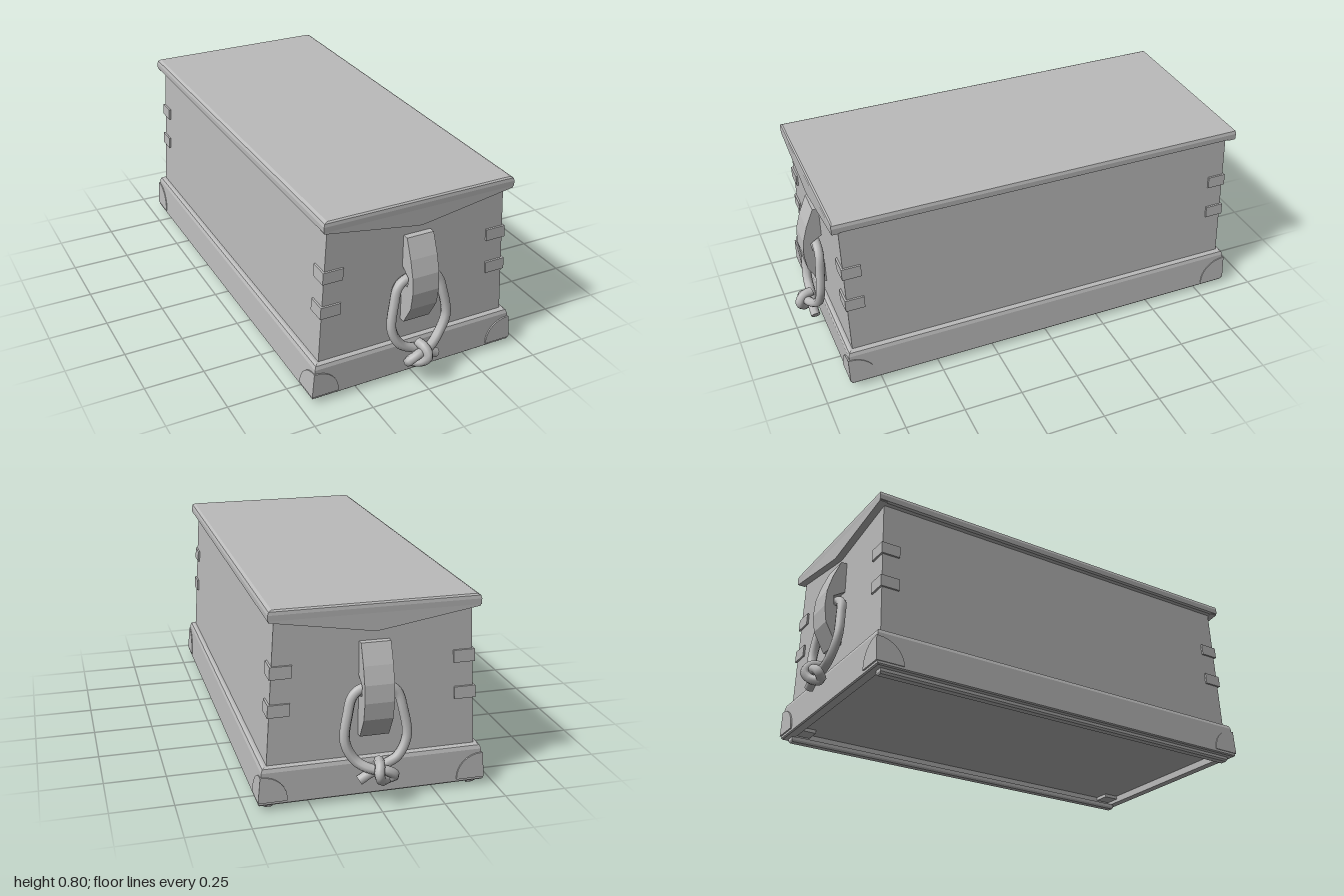
import * as THREE from 'three';

const grey = new THREE.MeshStandardMaterial({ color: 0xbbbbbb });
grey.name = 'grey';

function add(parent, name, geometry) {
  const mesh = new THREE.Mesh(geometry, grey);
  mesh.name = name;
  parent.add(mesh);
  return mesh;
}

// Flat-shaded solid through rectangular rings [xA, xB, y, zA, zB]
function loft(rings) {
  const pos = [];
  const loops = rings.map(([xa, xb, y, za, zb]) => {
    const x0 = Math.min(xa, xb), x1 = Math.max(xa, xb);
    const z0 = Math.min(za, zb), z1 = Math.max(za, zb);
    return [[x1, y, z1], [x1, y, z0], [x0, y, z0], [x0, y, z1]];
  });
  const quad = (a, b, c, d) => pos.push(...a, ...b, ...c, ...a, ...c, ...d);
  for (let r = 0; r < loops.length - 1; r++) {
    const a = loops[r], b = loops[r + 1];
    for (let i = 0; i < 4; i++) {
      const j = (i + 1) % 4;
      quad(a[i], a[j], b[j], b[i]);
    }
  }
  const f = loops[0], l = loops[loops.length - 1];
  quad(f[3], f[2], f[1], f[0]);
  quad(l[0], l[1], l[2], l[3]);
  const g = new THREE.BufferGeometry();
  g.setAttribute('position', new THREE.Float32BufferAttribute(pos, 3));
  g.computeVertexNormals();
  return g;
}

// Centred rings given as [halfX, y, halfZ]
const centred = rings => loft(rings.map(([x, y, z]) => [-x, x, y, -z, z]));

const shape = pts => new THREE.Shape(pts.map(p => new THREE.Vector2(...p)));

const bodyX = y => 0.415 - (y - 0.175) * 0.061;
const baseX = y => 0.452 - (y - 0.02) * 0.09;
const END = 0.857, BASE_END = 0.88;

// Rope with capped ends; s mirrors it left to right
function rope(parent, s) {
  const pts = [
    [0.072, 0.105, 0.925], [0.03, 0.13, 0.925], [-0.03, 0.155, 0.915], [-0.085, 0.185, 0.912],
    [-0.122, 0.26, 0.902], [-0.108, 0.37, 0.89], [-0.09, 0.43, 0.882], [-0.055, 0.458, 0.88],
    [0.055, 0.458, 0.88], [0.09, 0.43, 0.882], [0.108, 0.37, 0.89], [0.122, 0.26, 0.902],
    [0.085, 0.185, 0.912], [0.035, 0.155, 0.935], [-0.03, 0.145, 0.952], [-0.064, 0.12, 0.945],
    [-0.045, 0.1, 0.925], [-0.01, 0.108, 0.955], [0.006, 0.14, 0.974], [0, 0.17, 0.955],
    [-0.008, 0.176, 0.915]
  ].map(([x, y, z]) => new THREE.Vector3(x * s, y, z));
  const curve = new THREE.CatmullRomCurve3(pts, false, 'centripetal');
  const group = new THREE.Group();
  group.name = 'ropeHandle';
  add(group, 'rope', new THREE.TubeGeometry(curve, 110, 0.02, 8, false));
  for (const t of [0, 1]) {
    const cap = add(group, 'ropeEnd', new THREE.CircleGeometry(0.02, 8));
    const p = curve.getPointAt(t);
    const out = curve.getTangentAt(t).multiplyScalar(t ? 1 : -1);
    cap.position.copy(p);
    cap.quaternion.setFromUnitVectors(new THREE.Vector3(0, 0, 1), out);
  }
  parent.add(group);
}

// Everything on one short end of the chest
function chestEnd(s) {
  const end = new THREE.Group();
  end.name = 'chestEnd';

  // Shallow pointed board under the lid
  const board = new THREE.ExtrudeGeometry(shape([
    [-0.405, 0.772], [-0.405, 0.748], [-0.025, 0.687], [0, 0.684],
    [0.025, 0.687], [0.405, 0.748], [0.405, 0.772]
  ]), { depth: 0.032, bevelEnabled: false });
  board.translate(0, 0, 0.855);
  add(end, 'pointedBoard', board);

  // Bowed cleat with an opening for the rope
  const cleat = new THREE.ExtrudeGeometry(shape([
    [0.85, 0.64], [0.882, 0.64], [0.915, 0.56], [0.935, 0.49], [0.94, 0.42], [0.93, 0.35],
    [0.882, 0.265], [0.85, 0.265], [0.85, 0.42], [0.9, 0.435], [0.905, 0.475], [0.85, 0.51]
  ]), { depth: 0.116, bevelEnabled: false });
  cleat.rotateY(-Math.PI / 2);
  cleat.translate(0.058, 0, 0);
  add(end, 'handleCleat', cleat);

  rope(end, s);

  for (const sx of [-1, 1]) {
    // Joints wrapping the body corners
    for (const [y0, y1] of [[0.37, 0.42], [0.52, 0.57]]) {
      const ring = y => [sx * (bodyX(y) - 0.077), sx * (bodyX(y) + 0.008), y, 0.785, END + 0.008];
      add(end, 'cornerJoint', loft([ring(y0), ring(y1)]));
    }
    // Rounded protectors on the base corners
    const rings = [];
    for (let i = 0; i <= 8; i++) {
      const a = i / 8 * Math.PI / 2;
      const y = 0.035 + 0.105 * Math.sin(a);
      const w = 0.11 * Math.cos(a);
      const x = baseX(y);
      rings.push([sx * (x - w), sx * (x + 0.004), y, BASE_END - w, BASE_END + 0.006]);
    }
    add(end, 'cornerProtector', loft(rings));
  }
  return end;
}

export function createModel() {
  const model = new THREE.Group();
  model.name = 'chest';

  // Base skirt with a recessed underside
  add(model, 'base', centred([
    [0.41, 0.05, 0.84], [0.41, 0.02, 0.84], [0.448, 0.02, 0.875], [0.452, 0.025, BASE_END],
    [baseX(0.155), 0.155, BASE_END], [0.434, 0.17, 0.875], [0.425, 0.175, 0.866]
  ]));

  // Runners under the long sides
  for (const sx of [-1, 1]) {
    add(model, 'runner', loft([
      [sx * 0.395, sx * 0.422, 0, -0.85, 0.85], [sx * 0.39, sx * 0.428, 0.008, -0.855, 0.855],
      [sx * 0.39, sx * 0.428, 0.022, -0.855, 0.855]
    ]));
  }

  // Tapered body
  add(model, 'body', centred([[bodyX(0.17), 0.17, END], [bodyX(0.76), 0.76, END]]));

  // Lid with softened edges
  add(model, 'lid', centred([
    [0.4, 0.748, 0.882], [0.408, 0.754, 0.887], [0.408, 0.776, 0.888],
    [0.404, 0.789, 0.886], [0.392, 0.795, 0.88]
  ]));

  const front = chestEnd(1);
  const back = chestEnd(-1);
  back.rotation.y = Math.PI;
  model.add(front, back);
  return model;
}
